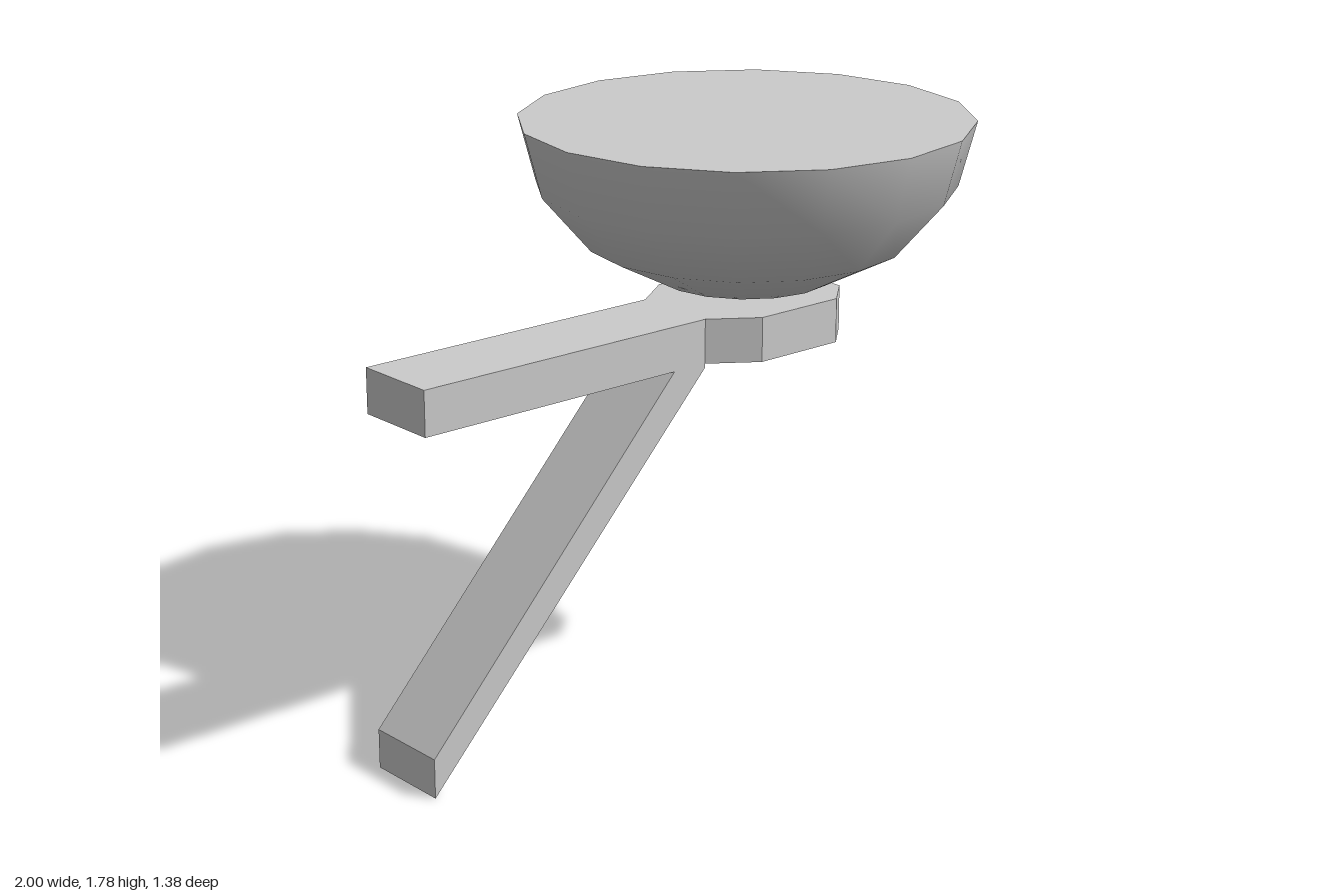
import * as THREE from 'three';

const material = new THREE.MeshStandardMaterial({ color: 0xcccccc });

function addMesh(parent, name, geometry) {
  const mesh = new THREE.Mesh(geometry, material);
  mesh.name = name;
  parent.add(mesh);
  return mesh;
}

// Straight prism from a flat outline
function prism(points, depth) {
  const shape = new THREE.Shape(points.map(([x, y]) => new THREE.Vector2(x, y)));
  return new THREE.ExtrudeGeometry(shape, { depth, bevelEnabled: false });
}

export function createModel() {
  const model = new THREE.Group();
  model.name = 'wallBowl';

  const sides = 16, bowlX = 0.31, bowlRadius = 0.69, rimY = 1.78;
  const width = 0.274, midZ = -0.003;
  const lowY = 1.097, highY = 1.235;

  // Bowl: smooth rounded body with a flat lid
  const bowl = new THREE.Group();
  bowl.name = 'bowl';
  bowl.position.x = bowlX;
  model.add(bowl);
  const profile = [[0, 1.25], [0.265, 1.29], [0.488, 1.405], [0.638, 1.58], [bowlRadius, rimY]]
    .map(([r, y]) => new THREE.Vector2(r, y));
  addMesh(bowl, 'bowlBody', new THREE.LatheGeometry(profile, sides));
  const lid = new THREE.CircleGeometry(bowlRadius, sides).rotateX(-Math.PI / 2);
  addMesh(bowl, 'bowlTop', lid).position.y = rimY;

  // Eight-sided plate under the bowl
  const w = width / 2, W = 0.235;
  const outline = [[0.03, -w], [0.17, -W], [0.475, -W], [0.582, -w],
    [0.582, w], [0.475, W], [0.17, W], [0.03, w]];
  const plate = prism(outline, highY - lowY).rotateX(-Math.PI / 2);
  addMesh(model, 'supportPlate', plate).position.set(0, lowY, midZ);

  // Horizontal arm, running back from the plate
  const arm = new THREE.BoxGeometry(1.03, highY - lowY, width);
  addMesh(model, 'arm', arm).position.set(-0.485, (lowY + highY) / 2, midZ);

  // Diagonal brace with a vertical foot end
  const brace = prism([[-1, 0], [0.03, 1.085], [0.03, lowY], [-0.09, lowY], [-1, 0.122]], width);
  addMesh(model, 'brace', brace).position.z = midZ - w;

  return model;
}
